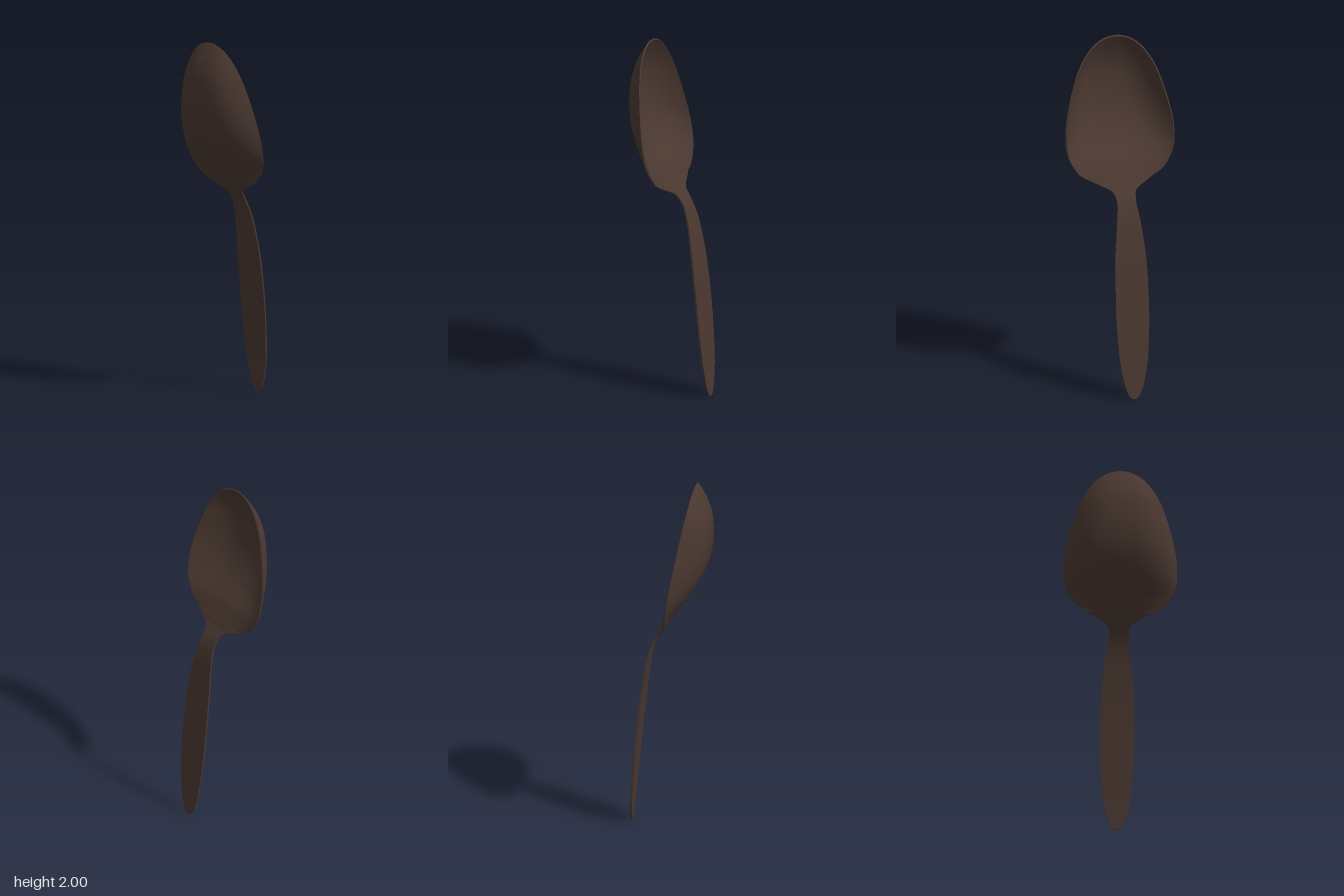
import * as THREE from 'three';
import { mergeGeometries } from 'three/addons/utils/BufferGeometryUtils.js';

const ACROSS = 40, ALONG = 240, THICKNESS = 0.009;

// Centre line and outline from handle end to bowl tip: [x, y, half width]
const PROFILE = [
  [0.22, 0, 0.004], [0.219, 0.008, 0.02], [0.217, 0.04, 0.039], [0.213, 0.1, 0.058],
  [0.206, 0.2, 0.077], [0.19, 0.4, 0.092], [0.171, 0.6, 0.094], [0.147, 0.8, 0.088],
  [0.112, 1.0, 0.067], [0.076, 1.1, 0.054], [0.042, 1.15, 0.065], [0.027, 1.17, 0.092],
  [0.01, 1.2, 0.15], [-0.02, 1.25, 0.237], [-0.05, 1.3, 0.276], [-0.09, 1.35, 0.299],
  [-0.128, 1.4, 0.309], [-0.181, 1.5, 0.307], [-0.21, 1.6, 0.289], [-0.221, 1.72, 0.256],
  [-0.212, 1.82, 0.219], [-0.187, 1.9, 0.172], [-0.163, 1.95, 0.127],
  [-0.147, 1.98, 0.083], [-0.138, 1.996, 0.038], [-0.135, 2, 0.004],
];

// The bowl rim lies in one tilted plane; the handle is flat across
const rimX = (x, y) => (y > 1.22 ? Math.max(x, -0.135 * (y - 1.22) / 0.78) : x);

function makeGeometry(positions, index) {
  const g = new THREE.BufferGeometry();
  g.setAttribute('position', new THREE.Float32BufferAttribute(positions, 3));
  g.setIndex(index);
  g.computeVertexNormals();
  return g;
}

function spoonGeometry() {
  const curve = new THREE.CatmullRomCurve3(PROFILE.map(p => new THREE.Vector3(...p)));
  const id = (i, j) => i * (ACROSS + 1) + j;
  const mid = [], index = [];

  // Middle surface: one curved section per step along the spoon
  curve.getPoints(ALONG).forEach(({ x, y, z: w }, i) => {
    const rim = rimX(x, y);
    for (let j = 0; j <= ACROSS; j++) {
      const u = Math.sin((j / ACROSS - 0.5) * Math.PI);
      mid.push(rim + (x - rim) * (1 - Math.abs(u) ** 3), y, u * w);
      if (i < ALONG && j < ACROSS) {
        const a = id(i, j), b = id(i + 1, j), c = id(i, j + 1), d = id(i + 1, j + 1);
        index.push(a, b, c, b, d, c);
      }
    }
  });

  // Inner and outer skins, offset along the normals
  const normals = makeGeometry(mid, index).attributes.normal.array;
  const skin = s => mid.map((v, k) => v + normals[k] * s * THICKNESS / 2);
  const inner = skin(1), outer = skin(-1);

  // Narrow edge joining the two skins all the way round
  const loop = [];
  for (let i = 0; i < ALONG; i++) loop.push(id(i, 0));
  for (let j = 0; j < ACROSS; j++) loop.push(id(ALONG, j));
  for (let i = ALONG; i > 0; i--) loop.push(id(i, ACROSS));
  for (let j = ACROSS; j > 0; j--) loop.push(id(0, j));
  const edge = [], edgeIndex = [];
  loop.forEach((v, k) => {
    edge.push(...inner.slice(v * 3, v * 3 + 3), ...outer.slice(v * 3, v * 3 + 3));
    const a = 2 * k, b = 2 * ((k + 1) % loop.length);
    edgeIndex.push(b, a, a + 1, b, a + 1, b + 1);
  });

  return mergeGeometries([
    makeGeometry(inner, index),
    makeGeometry(outer, index.slice().reverse()),
    makeGeometry(edge, edgeIndex),
  ]);
}

export function createModel() {
  const group = new THREE.Group();
  group.name = 'spoon';
  const material = new THREE.MeshStandardMaterial({ color: 0x4a3830, side: THREE.DoubleSide });
  const body = new THREE.Mesh(spoonGeometry(), material);
  body.name = 'bowlAndHandle';
  group.add(body);
  return group;
}
